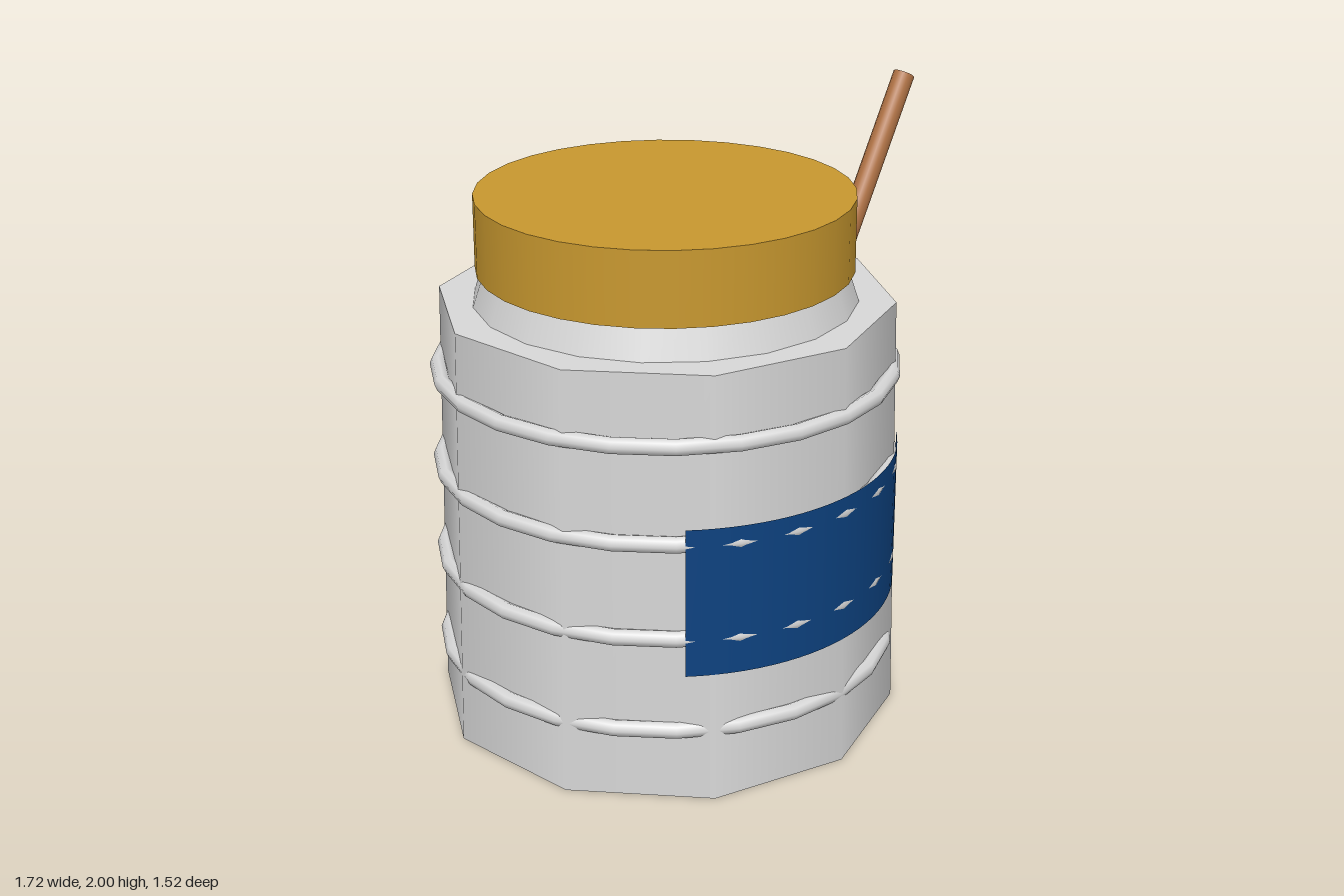
import * as THREE from 'three';

const mat = (name, color, side = THREE.FrontSide) => {
  const m = new THREE.MeshStandardMaterial({ color, side });
  m.name = name;
  return m;
};

export function createModel() {
  const model = new THREE.Group();
  model.name = 'jar';
  const grey = mat('pale grey', 0xd8d8d8);
  const gold = mat('gold', 0xc8982f);
  const brown = mat('wood brown', 0xb07244);
  const blue = mat('label blue', 0x0d4280, THREE.DoubleSide);

  const jar = new THREE.Group();
  jar.name = 'jarBody';
  jar.position.x = -0.108;
  model.add(jar);

  const add = (parent, name, geometry, material, x = 0, y = 0, z = 0) => {
    const mesh = new THREE.Mesh(geometry, material);
    mesh.name = name;
    mesh.position.set(x, y, z);
    parent.add(mesh);
    return mesh;
  };

  // Ten-sided tapered body with a neck and a round lid
  add(jar, 'body', new THREE.CylinderGeometry(0.733, 0.76, 1.4, 10), grey, 0, 0.7);
  add(jar, 'neck', new THREE.CylinderGeometry(0.575, 0.615, 0.12, 20), grey, 0, 1.46);
  add(jar, 'lid', new THREE.CylinderGeometry(0.602, 0.602, 0.24, 32), gold, 0, 1.622);

  // Four evenly spaced hoops
  const hoop = new THREE.TorusGeometry(0.73, 0.027, 8, 24).rotateX(Math.PI / 2);
  for (let i = 0; i < 4; i++) add(jar, 'hoop', hoop, grey, 0, 0.235 + i * 0.315);

  // Curved label wrapped around the front
  add(jar, 'label',
    new THREE.CylinderGeometry(0.752, 0.752, 0.49, 24, 1, true, -0.75, 1.5), blue, 0, 0.677);

  // Leaning stick, its lower end sunk into the body
  const tilt = Math.PI / 6, length = 1;
  const stick = add(model, 'stick', new THREE.CylinderGeometry(0.036, 0.036, length, 12), brown,
    0.828 - Math.sin(tilt) * length / 2, 1.982 - Math.cos(tilt) * length / 2, 0.215);
  stick.rotation.z = -tilt;

  return model;
}
